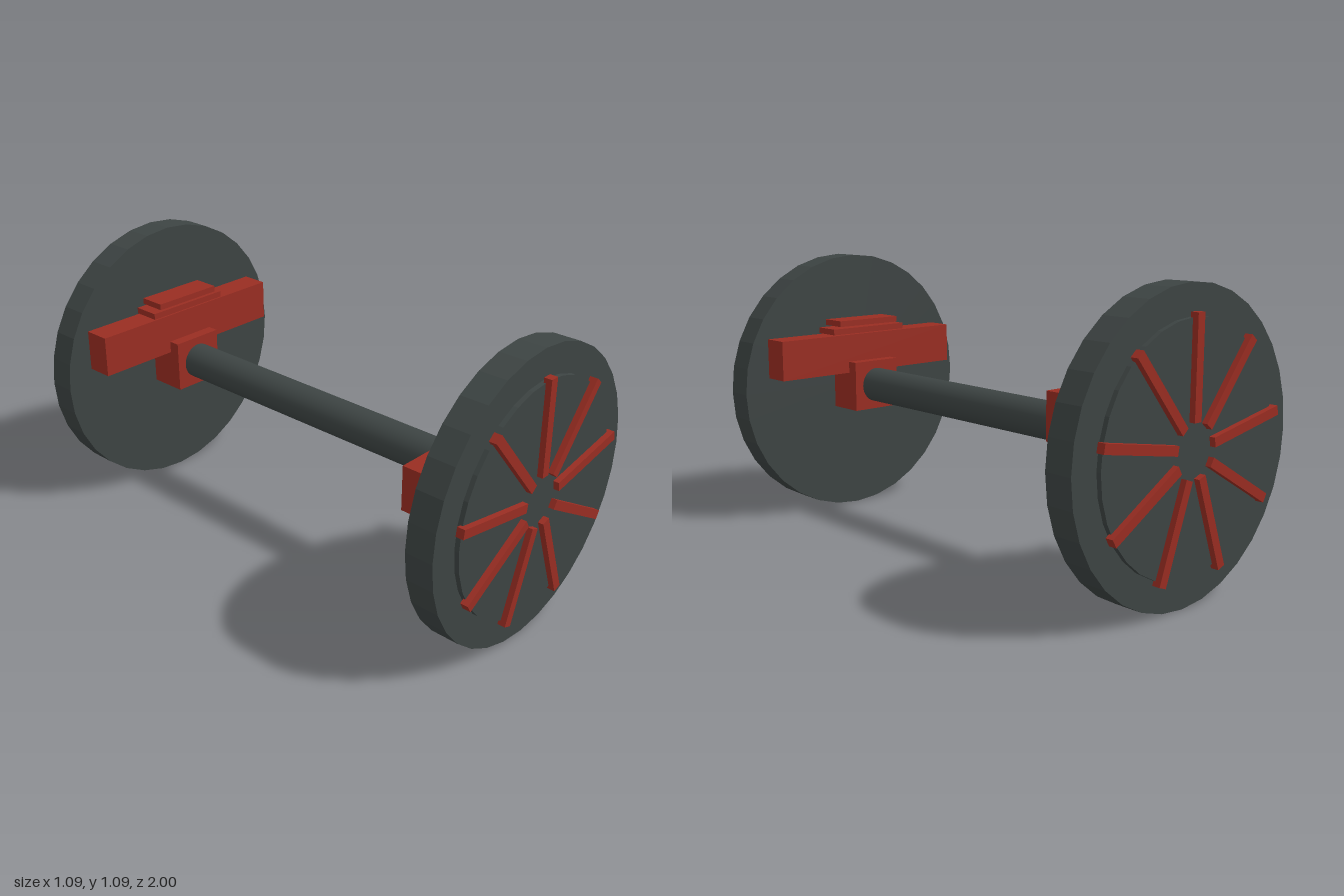
import * as THREE from 'three';

const AXLE_Y = 0.545;

export function createModel() {
  const iron = new THREE.MeshStandardMaterial({ name: 'dark iron', color: 0x3d4443 });
  const red = new THREE.MeshStandardMaterial({ name: 'red paint', color: 0x992d22 });
  const model = new THREE.Group();
  model.name = 'wheelset';

  function add(parent, name, geometry, material, x = 0, y = 0, z = 0) {
    const mesh = new THREE.Mesh(geometry, material);
    mesh.name = name;
    mesh.position.set(x, y, z);
    parent.add(mesh);
    return mesh;
  }

  // Box given by half width and its y and z limits
  function block(parent, name, halfWidth, y0, y1, z0, z1) {
    add(parent, name, new THREE.BoxGeometry(halfWidth * 2, y1 - y0, z1 - z0), red,
      0, (y0 + y1) / 2, (z0 + z1) / 2);
  }

  // Faceted disc lying along z
  function disc(parent, name, radius, z0, z1) {
    const geometry = new THREE.CylinderGeometry(radius, radius, z1 - z0, 32)
      .rotateX(Math.PI / 2).toNonIndexed();
    geometry.computeVertexNormals();
    add(parent, name, geometry, iron, 0, AXLE_Y, (z0 + z1) / 2);
  }

  // Axle
  add(model, 'axle', new THREE.CylinderGeometry(0.071, 0.071, 1.72, 32).rotateX(Math.PI / 2),
    iron, 0, AXLE_Y + 0.002, 0);

  // Both ends are alike, turned half way round
  for (const turn of [0, Math.PI]) {
    const end = new THREE.Group();
    end.name = turn ? 'backEnd' : 'frontEnd';
    end.rotation.y = turn;
    model.add(end);

    // Wheel with raised outer face
    disc(end, 'wheel', 0.5435, 0.853, 0.96);
    disc(end, 'wheelFace', 0.434, 0.955, 0.978);

    // Nine spokes
    const spokes = new THREE.Group();
    spokes.name = 'spokes';
    spokes.position.y = AXLE_Y;
    end.add(spokes);
    for (let i = 0; i < 9; i++) {
      const spoke = new THREE.BoxGeometry(0.034, 0.355, 0.03);
      spoke.translate(0, 0.273, 0.985).rotateZ((i * Math.PI * 2) / 9);
      add(spokes, 'spoke', spoke, red);
    }

    // Axle box, spring beam and the two leaves above it
    block(end, 'axleBox', 0.108, 0.445, 0.65, 0.70, 0.855);
    block(end, 'springBeam', 0.433, 0.603, 0.764, 0.746, 0.855);
    block(end, 'lowerLeaf', 0.18, 0.768, 0.792, 0.746, 0.855);
    block(end, 'upperLeaf', 0.147, 0.80, 0.824, 0.746, 0.855);
  }
  return model;
}
